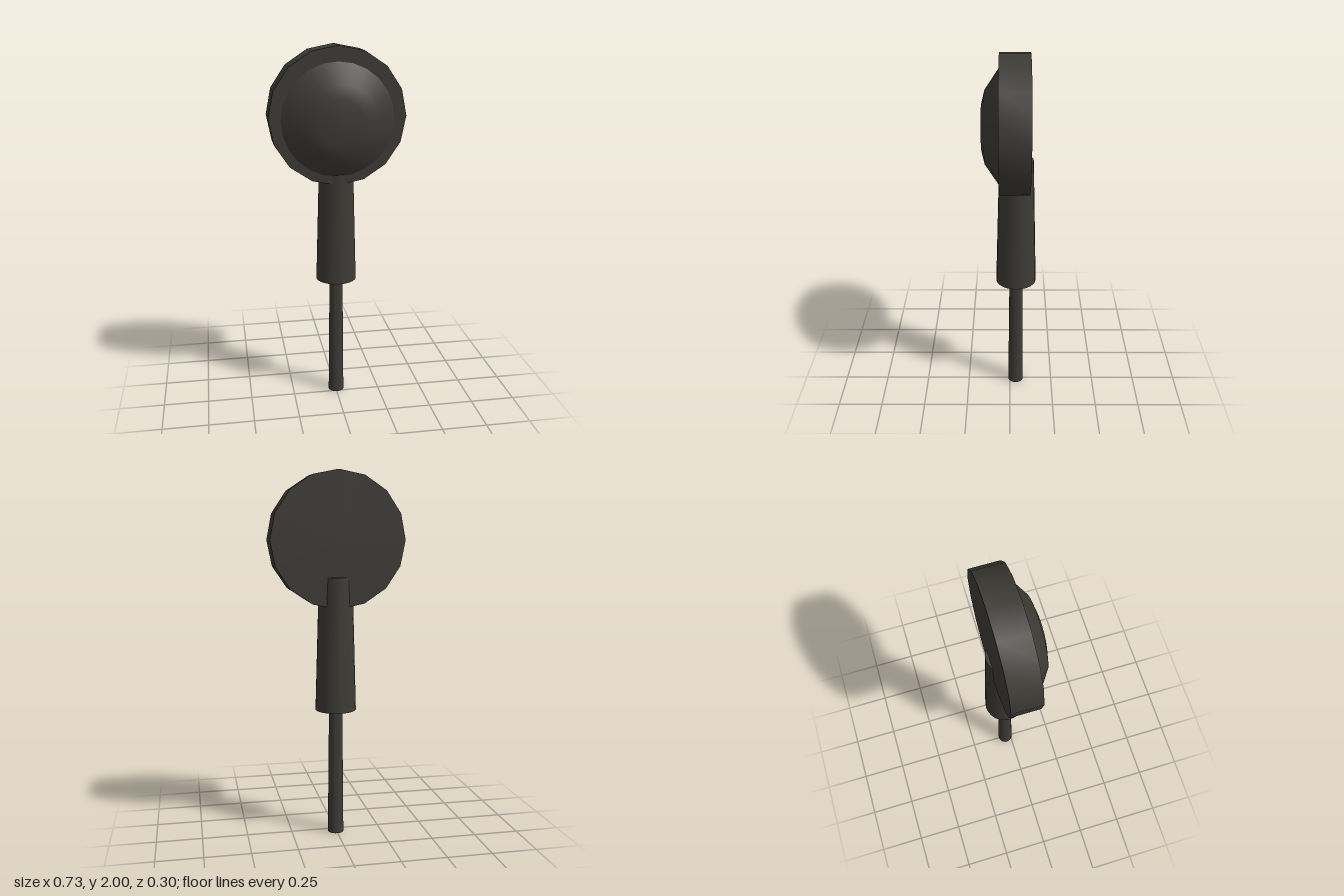
import * as THREE from 'three';
import { toCreasedNormals } from 'three/addons/utils/BufferGeometryUtils.js';

export function createModel() {
  const model = new THREE.Group();
  const material = new THREE.MeshStandardMaterial({ color: 0x3d3b36 });

  function addPart(name, geometry, x, y, z) {
    const mesh = new THREE.Mesh(toCreasedNormals(geometry, 0.6), material);
    mesh.name = name;
    mesh.position.set(x, y, z);
    model.add(mesh);
  }

  // Upright round tapered post standing between two heights
  function addPost(name, bottomRadius, topRadius, y0, y1) {
    const post = new THREE.CylinderGeometry(topRadius, bottomRadius, y1 - y0, 24);
    addPart(name, post, 0.003, (y0 + y1) / 2, -0.034);
  }

  addPost('stem', 0.044, 0.037, 0, 0.72);
  addPost('handle', 0.112, 0.091, 0.71, 1.44);

  // Sixteen-sided head, its flat faces turned front and back
  const head = new THREE.CylinderGeometry(0.364, 0.364, 0.16, 16).rotateX(Math.PI / 2);
  addPart('head', head, 0, 1.636, -0.025);

  // Shallow dome on the front of the head
  const profile = [[0.3, 0], [0.19, 0.075], [0.12, 0.092], [0, 0.094]]
    .map(([r, h]) => new THREE.Vector2(r, h));
  const dome = new THREE.LatheGeometry(profile, 24).rotateX(Math.PI / 2);
  addPart('dome', dome, 0, 1.62, 0.055);

  return model;
}
